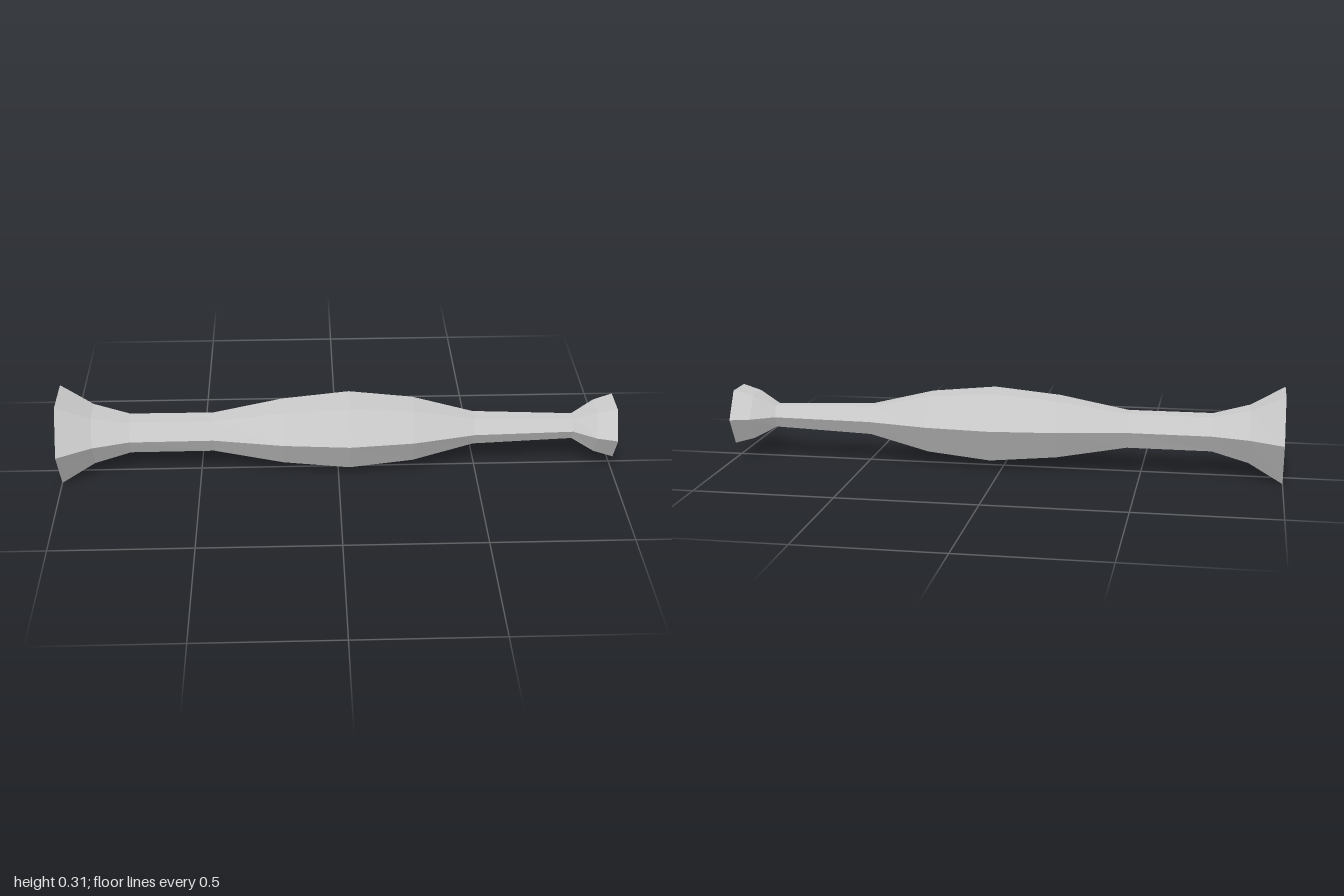
import * as THREE from 'three';

// Cross-sections along the shaft: [x, half height, half depth]
const SECTIONS = [
  [-1, 0.156, 0.166],
  [-0.88, 0.094, 0.102],
  [-0.75, 0.062, 0.066],
  [-0.45, 0.062, 0.063],
  [-0.2, 0.103, 0.107],
  [0.04, 0.123, 0.127],
  [0.27, 0.102, 0.106],
  [0.49, 0.052, 0.056],
  [0.85, 0.04, 0.043],
  [0.93, 0.081, 0.094],
  [1, 0.0995, 0.115],
];
const CENTRE_Y = 0.156;

// Six-sided bar along x, with ridges facing front and back, following the sections
function hexBar(sections) {
  const rows = sections.length - 1;
  const bar = new THREE.CylinderGeometry(1, 1, rows, 6, rows);
  const p = bar.attributes.position;
  const flat = Math.sin(Math.PI / 3);
  for (let i = 0; i < p.count; i++) {
    const [x, h, d] = sections[Math.round(p.getY(i) + rows / 2)];
    p.setXYZ(i, x, CENTRE_Y - (p.getX(i) * h) / flat, p.getZ(i) * d);
  }
  const faceted = bar.toNonIndexed();
  faceted.computeVertexNormals();
  return faceted;
}

export function createModel() {
  const model = new THREE.Group();
  model.name = 'hexagonalHandle';

  const grey = new THREE.MeshStandardMaterial({ color: 0xcccccc, flatShading: true });
  grey.name = 'light grey';

  // Flared butt, swelling grip, thin neck and flared tip in one faceted piece
  const shaft = new THREE.Mesh(hexBar(SECTIONS), grey);
  shaft.name = 'shaft';
  model.add(shaft);

  return model;
}
